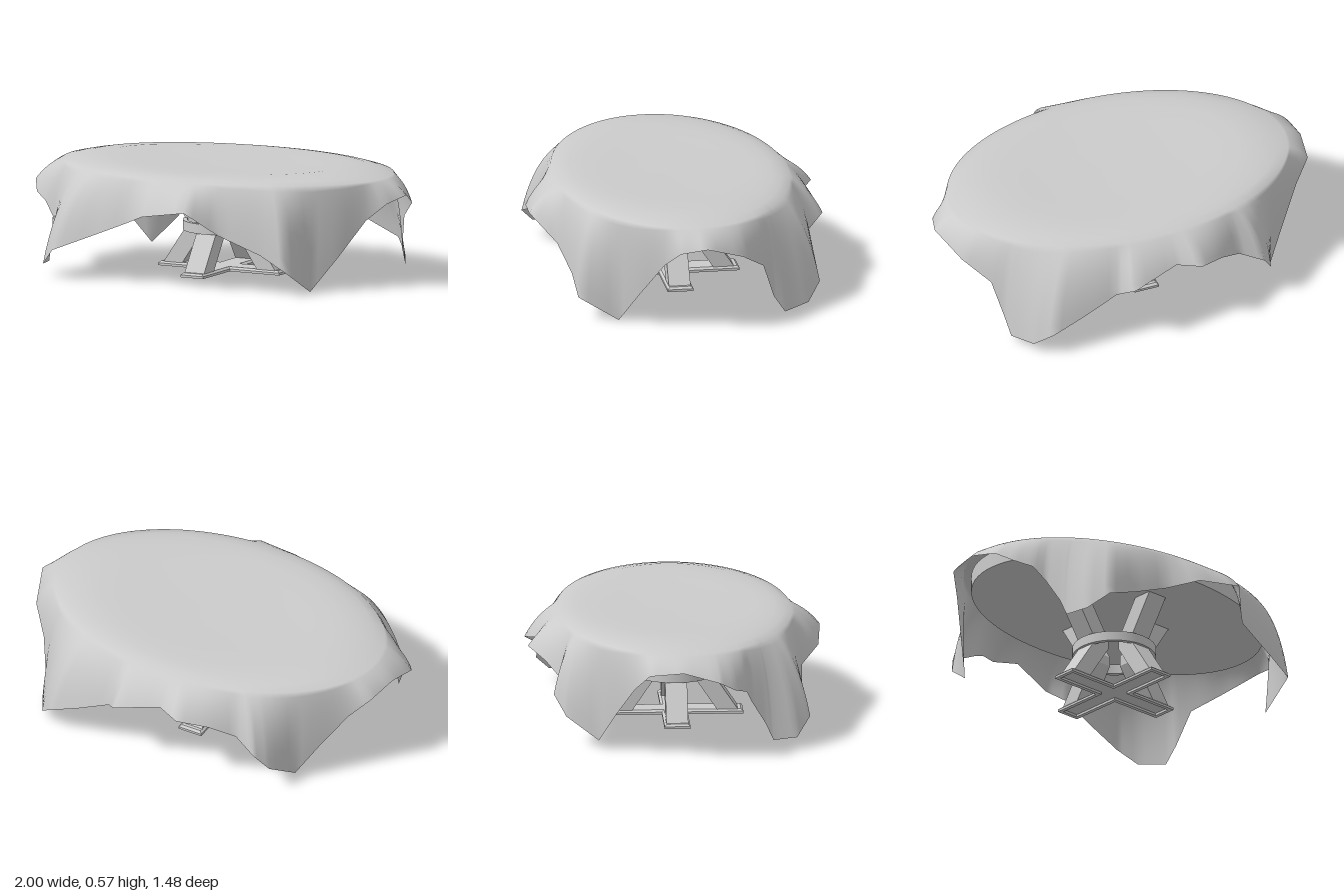
import * as THREE from 'three';
import { toCreasedNormals } from 'three/addons/utils/BufferGeometryUtils.js';

const grey = new THREE.MeshStandardMaterial({ color: 0xcccccc });
const clothGrey = new THREE.MeshStandardMaterial({ color: 0xcccccc, side: THREE.DoubleSide });

function part(name, geometry, material = grey) {
  const mesh = new THREE.Mesh(geometry, material);
  mesh.name = name;
  return mesh;
}

// Hem of the cloth as x, y, z, running from the +x side towards +z.
const HEM = [
  [1, 0.46, -0.03], [0.96, 0.43, 0.1], [0.88, 0.35, 0.17], [0.78, 0.17, 0.28], [0.67, 0, 0.37],
  [0.64, 0.12, 0.57], [0.5, 0.2, 0.58], [0.28, 0.29, 0.62], [0.15, 0.41, 0.74], [-0.1, 0.37, 0.72],
  [-0.25, 0.31, 0.63], [-0.45, 0.23, 0.62], [-0.65, 0.15, 0.65], [-0.74, 0.065, 0.58], [-0.77, 0.06, 0.46],
  [-0.78, 0.15, 0.42], [-0.81, 0.27, 0.35], [-0.87, 0.34, 0.32], [-0.95, 0.37, 0.26], [-1, 0.42, 0.18],
  [-0.99, 0.47, 0], [-0.96, 0.45, -0.17], [-0.87, 0.36, -0.24], [-0.76, 0.2, -0.33], [-0.66, 0.04, -0.41],
  [-0.6, 0.15, -0.57], [-0.54, 0.25, -0.63], [-0.42, 0.3, -0.59], [-0.3, 0.36, -0.66], [-0.16, 0.4, -0.74],
  [-0.04, 0.41, -0.69], [0.2, 0.35, -0.74], [0.27, 0.29, -0.66], [0.45, 0.2, -0.66], [0.61, 0.13, -0.66],
  [0.69, 0.05, -0.59], [0.76, 0.03, -0.46], [0.775, 0.12, -0.4], [0.82, 0.3, -0.34], [0.93, 0.39, -0.22],
].map(p => new THREE.Vector3(...p));

// Cloth: a gently sagging oval top rolling over the rim, then draped to the hem.
function clothGeometry() {
  const perSpan = 4, drapeRows = 10;
  const around = HEM.length * perSpan;
  const rimX = 0.89, rimZ = 0.59, rimY = 0.54;
  // Each row: scale, height, extra height towards the two long ends.
  const topRows = [[0, 0.56, 0], [0.3, 0.56, 0], [0.55, 0.562, 0.005], [0.72, 0.564, 0.011], [0.85, 0.562, 0.005], [0.93, 0.554, 0]];
  const rows = topRows.length + drapeRows + 1;
  const positions = [], index = [];
  for (let j = 0; j < around; j++) {
    const span = Math.floor(j / perSpan);
    const end = HEM[span].clone().lerp(HEM[(span + 1) % HEM.length], (j % perSpan) / perSpan);
    const a = Math.atan2(end.z / rimZ, end.x / rimX);
    const rim = new THREE.Vector3(rimX * Math.cos(a), rimY, rimZ * Math.sin(a));
    // Long drops hang steeply; short ones slope almost straight out.
    const drop = THREE.MathUtils.clamp((rimY - end.y) / 0.45, 0, 1);
    const bend = rim.clone().lerp(end, 0.58).multiplyScalar(1 + 0.03 * drop);
    bend.y = THREE.MathUtils.lerp(rimY, end.y, 0.4 - 0.12 * drop);
    const column = topRows.map(([s, y, lift]) =>
      new THREE.Vector3(rim.x * s, y + lift * Math.cos(a) ** 2, rim.z * s));
    column.push(...new THREE.QuadraticBezierCurve3(rim, bend, end).getPoints(drapeRows));
    column.forEach(p => positions.push(p.x, p.y, p.z));
    const next = ((j + 1) % around) * rows;
    for (let i = 0; i < rows - 1; i++) {
      const b = j * rows + i, c = next + i;
      if (i > 0) index.push(b, c, b + 1);
      index.push(b + 1, c, c + 1);
    }
  }
  const g = new THREE.BufferGeometry();
  g.setAttribute('position', new THREE.Float32BufferAttribute(positions, 3));
  g.setIndex(index);
  g.computeVertexNormals();
  return g;
}

// Leg: waisted plank that flares outward both above and below the ring.
function legGeometry() {
  const shape = new THREE.Shape([
    [0.215, 0.03], [0.32, 0.03], [0.195, 0.215], [0.195, 0.265], [0.32, 0.455],
    [0.215, 0.455], [0.09, 0.265], [0.09, 0.215],
  ].map(p => new THREE.Vector2(...p)));
  return new THREE.ExtrudeGeometry(shape, { depth: 0.11, bevelEnabled: false }).translate(0, 0, -0.055);
}

// Outline of a cross with arms of length l and half-width w.
function crossPoints(l, w) {
  return [
    [l, -w], [l, w], [w, w], [w, l], [-w, l], [-w, w],
    [-l, w], [-l, -w], [-w, -w], [-w, -l], [w, -l], [w, -w],
  ].map(p => new THREE.Vector2(...p));
}

function upright(shape, depth, y) {
  return new THREE.ExtrudeGeometry(shape, { depth, bevelEnabled: false, curveSegments: 48 })
    .rotateX(-Math.PI / 2).translate(0, y, 0);
}

// Rim under the foot, leaving its underside recessed.
function footRimGeometry() {
  const shape = new THREE.Shape(crossPoints(0.345, 0.065));
  shape.holes.push(new THREE.Path(crossPoints(0.325, 0.045)));
  return upright(shape, 0.012, 0.013);
}

// Foot: a cross whose upper face is drawn in.
function footGeometry() {
  const g = upright(new THREE.Shape(crossPoints(0.345, 0.065)), 0.01, 0.025);
  const p = g.attributes.position;
  const inset = v => v - Math.sign(v) * 0.012;
  for (let i = 0; i < p.count; i++) {
    if (p.getY(i) > 0.03) p.setXYZ(i, inset(p.getX(i)), p.getY(i), inset(p.getZ(i)));
  }
  g.computeVertexNormals();
  return g;
}

// Ring: a flat band clasping the waists of the legs.
function ringGeometry() {
  const shape = new THREE.Shape().absarc(0, 0, 0.21, 0, Math.PI * 2);
  shape.holes.push(new THREE.Path().absarc(0, 0, 0.188, 0, Math.PI * 2, true));
  return toCreasedNormals(upright(shape, 0.05, 0.215), 0.6);
}

export function createModel() {
  const model = new THREE.Group();
  model.name = 'drapedTable';

  model.add(part('tablecloth', clothGeometry(), clothGrey));

  const top = part('tableTop', new THREE.CylinderGeometry(1, 1, 0.08, 80));
  top.scale.set(0.85, 1, 0.56);
  top.position.y = 0.495;
  model.add(top);

  const base = new THREE.Group();
  base.name = 'pedestal';
  base.position.x = -0.02;
  const leg = legGeometry();
  for (let k = 0; k < 4; k++) {
    const mesh = part('leg', leg);
    mesh.rotation.y = k * Math.PI / 2;
    base.add(mesh);
  }
  base.add(
    part('foot', footGeometry()),
    part('footRim', footRimGeometry()),
    part('ring', ringGeometry()),
  );
  model.add(base);
  return model;
}
